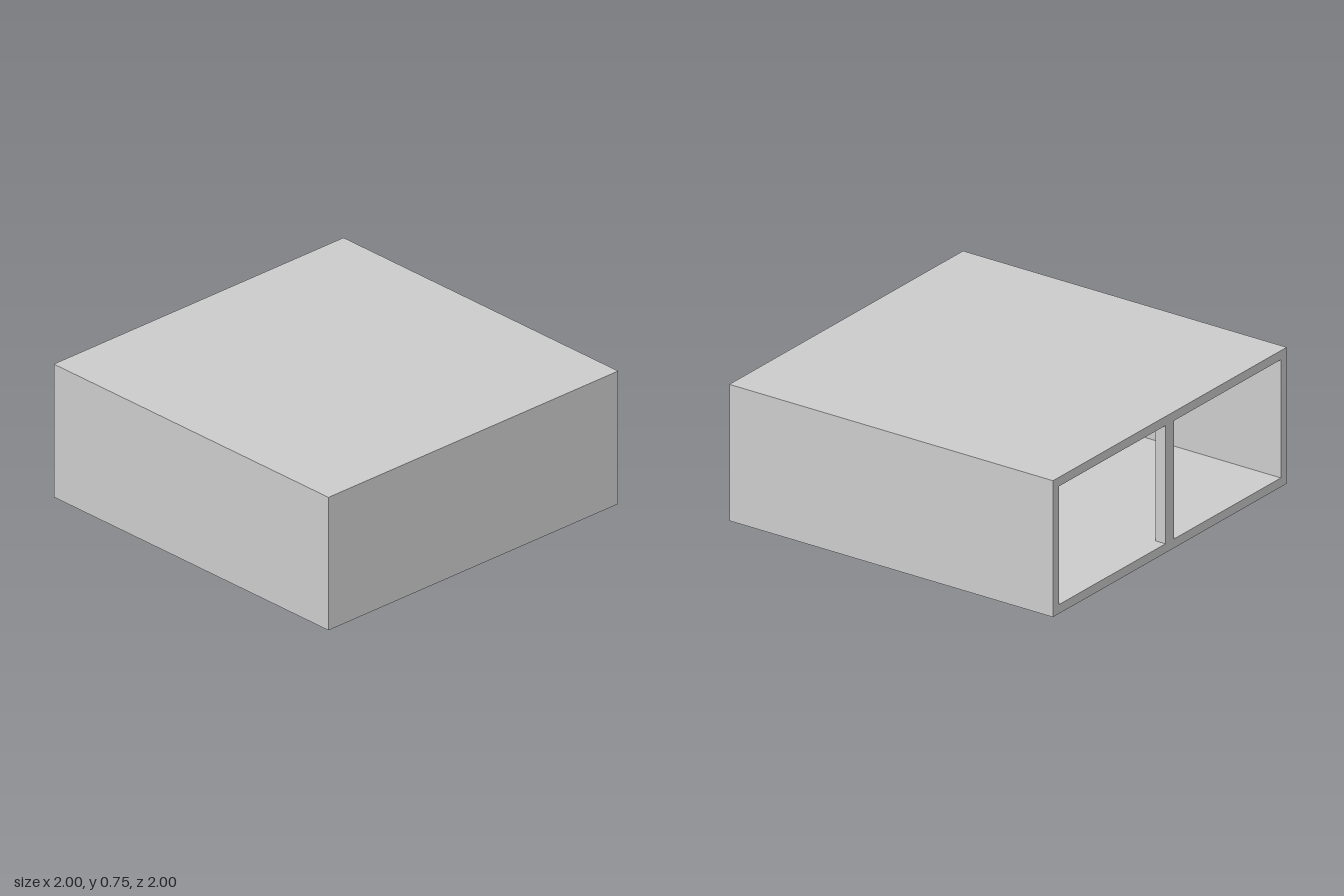
import * as THREE from 'three';

// Overall size and panel thickness
const W = 2, H = 0.75, D = 2, T = 0.05;

export function createModel() {
  const group = new THREE.Group();
  group.name = 'openSidedBox';
  const material = new THREE.MeshStandardMaterial({ color: 0xcccccc, flatShading: true });

  const addBox = (name, size, position) => {
    const mesh = new THREE.Mesh(new THREE.BoxGeometry(...size), material);
    mesh.name = name;
    mesh.position.set(...position);
    group.add(mesh);
  };

  // Floor and roof slabs
  addBox('floor', [W, T, D], [0, T / 2, 0]);
  addBox('roof', [W, T, D], [0, H - T / 2, 0]);

  // Front and back walls between the slabs
  const wallHeight = H - 2 * T;
  for (const [name, side] of [['frontWall', 1], ['backWall', -1]]) {
    addBox(name, [W, wallHeight, T], [0, H / 2, side * (D - T) / 2]);
  }

  // Closed left wall; the right side stays open
  addBox('leftWall', [T, wallHeight, D - 2 * T], [(W - T) / 2, H / 2, 0]);

  // Post in the middle of the opening, flush with its edge
  const postDepth = 0.06, postWidth = 0.075;
  addBox('centrePost', [postDepth, wallHeight, postWidth], [(postDepth - W) / 2, H / 2, 0]);

  return group;
}
